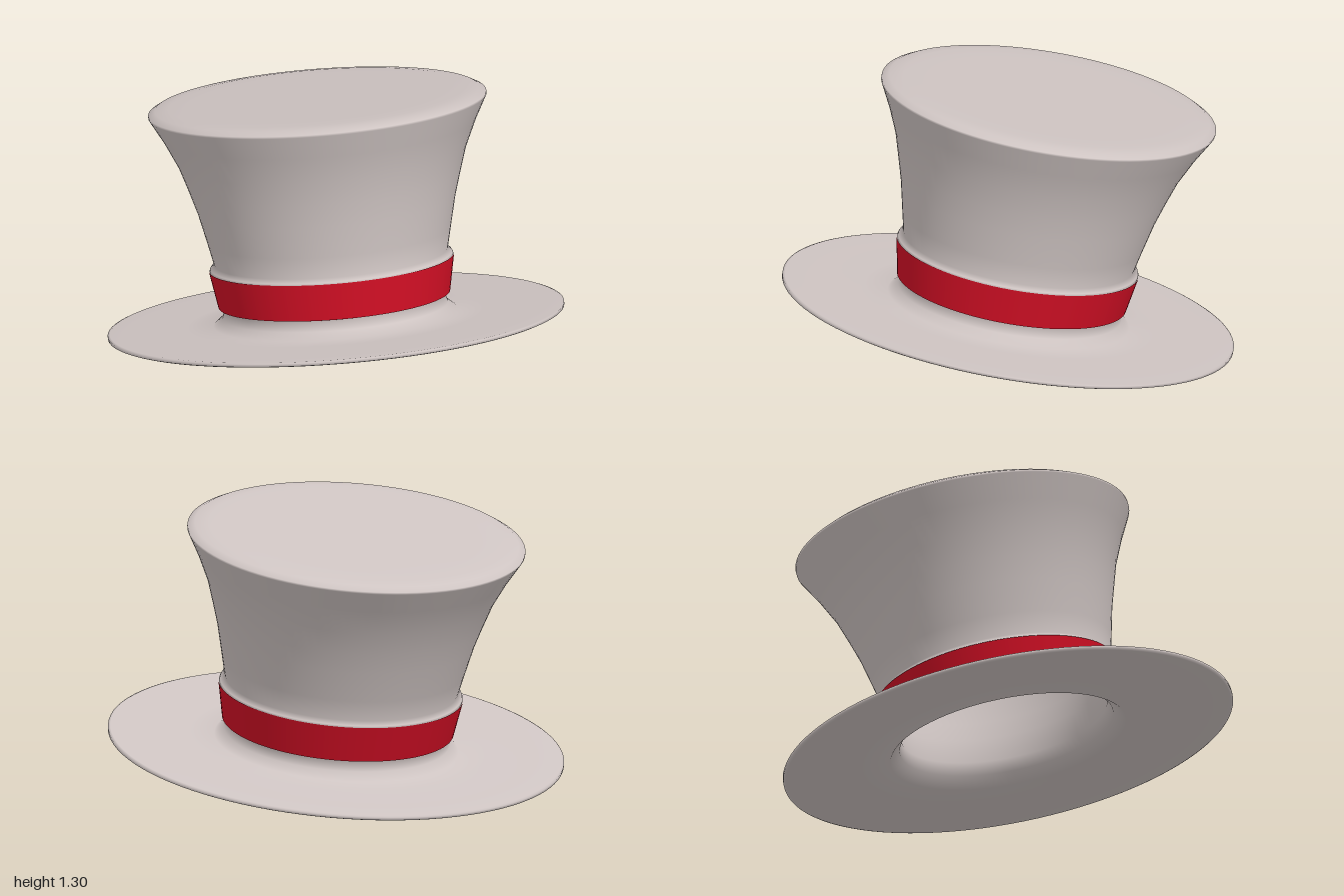
import * as THREE from 'three';

// Spins a profile of [radius, height] pairs around the hat's own axis
function lathe(name, profile, material) {
  const points = profile.map(([r, y]) => new THREE.Vector2(r, y));
  const mesh = new THREE.Mesh(new THREE.LatheGeometry(points, 96), material);
  mesh.name = name;
  return mesh;
}

export function createModel() {
  const felt = new THREE.MeshStandardMaterial({ color: 0xcec4c2 });
  felt.name = 'pale grey felt';
  const ribbon = new THREE.MeshStandardMaterial({ color: 0xd00f24 });
  ribbon.name = 'red ribbon';

  const group = new THREE.Group();
  group.name = 'topHat';

  // Flared wall of the crown, shared by its outer and inner faces
  const wall = [
    [0.512, 0.285], [0.533, 0.38], [0.565, 0.52], [0.595, 0.62],
    [0.63, 0.73], [0.685, 0.85],
  ];
  const inner = wall.map(([r, y]) => [r - 0.02, y]).reverse();

  // Brim and crown: inside ceiling, inner wall, brim, outer wall, flat top
  const hat = lathe('brimAndCrown', [
    [0, 0.95], [0.66, 0.95], [0.7, 0.93], ...inner,
    [0.47, 0.2], [0.458, 0.09], [0.475, 0.035], [0.525, -0.01],
    [0.65, -0.01], [0.88, -0.01], [0.99, -0.01], [1, -0.006],
    [1, 0.006], [0.99, 0.01], [0.88, 0.01], [0.65, 0.01],
    [0.535, 0.012], [0.495, 0.045], [0.48, 0.085],
    [0.504, 0.1], [0.534, 0.258], [0.53, 0.267],
    ...wall,
    [0.741, 0.953], [0.741, 0.963], [0.71, 0.98], [0.65, 0.987], [0.55, 0.988], [0, 0.988],
  ], felt);

  // The crown leans slightly further back towards its top
  const pos = hat.geometry.attributes.position;
  for (let i = 0; i < pos.count; i++) {
    const t = Math.max(0, (pos.getY(i) - 0.3) / 0.66);
    pos.setZ(i, pos.getZ(i) - 0.022 * t * t);
  }

  // Ribbon around the foot of the crown
  const band = lathe('hatBand', [[0.508, 0.096], [0.538, 0.261]], ribbon);
  const bandLower = lathe('hatBandLowerEdge', [[0.478, 0.09], [0.508, 0.096]], ribbon);

  // The whole hat tips backwards
  const tilted = new THREE.Group();
  tilted.name = 'tiltedHat';
  tilted.add(hat, band, bandLower);
  tilted.rotation.x = -0.198;
  tilted.position.y = 0.206;
  group.add(tilted);
  return group;
}
